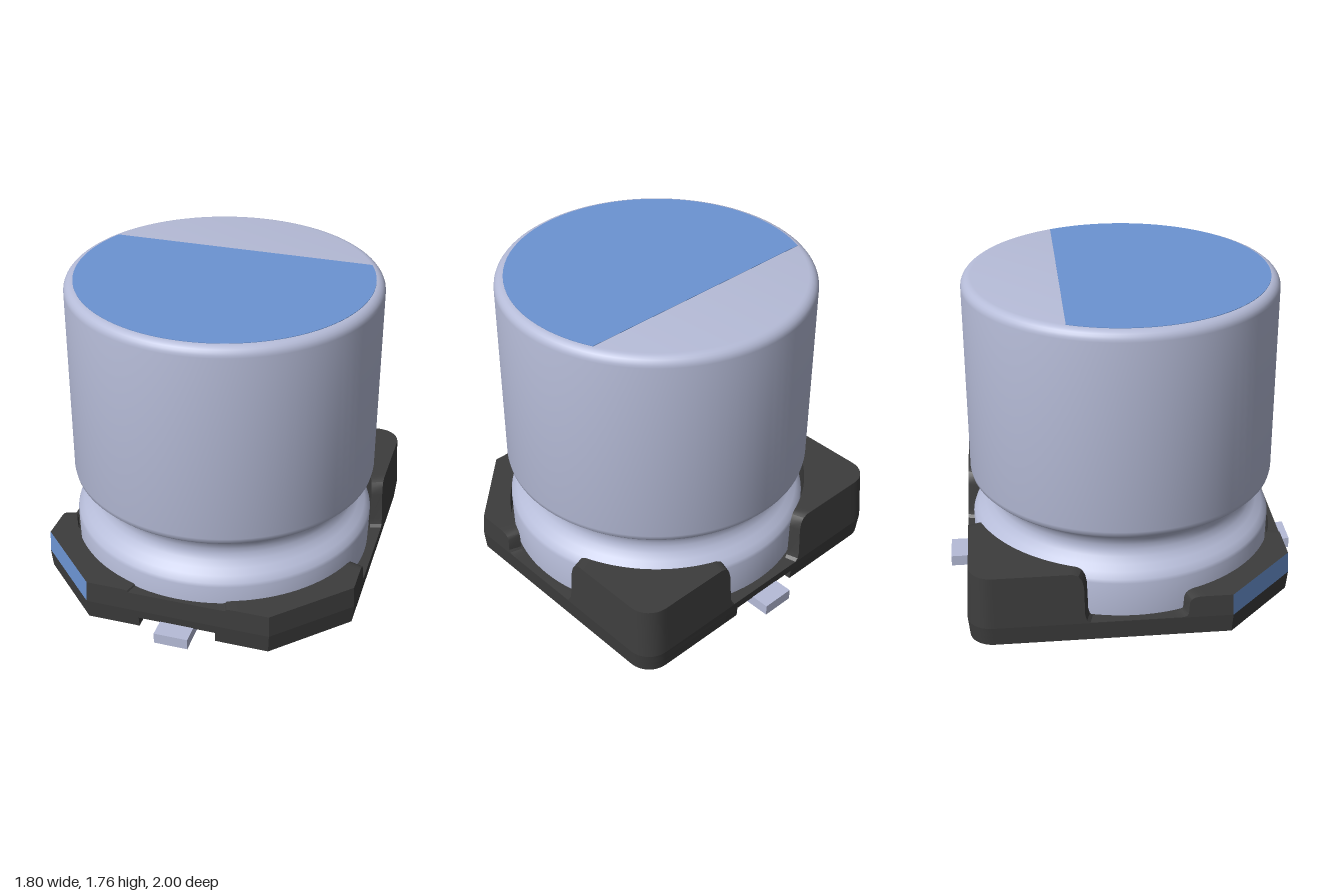
import * as THREE from 'three';
import { toCreasedNormals } from 'three/addons/utils/BufferGeometryUtils.js';

const material = (name, color, side = THREE.FrontSide) => {
  const m = new THREE.MeshStandardMaterial({ color, side });
  m.name = name;
  return m;
};

export function createModel() {
  const silver = material('silver', 0xb6bcd8, THREE.DoubleSide);
  const dark = material('dark plastic', 0x3d3d3d);
  const blue = material('blue marking', 0x6b93d2);

  const group = new THREE.Group();
  const add = (name, geometry, mat) => {
    const mesh = new THREE.Mesh(geometry, mat);
    mesh.name = name;
    group.add(mesh);
    return mesh;
  };

  const E = 0.9;          // half width of the base
  const SLAB = 0.11;      // slab height
  const SLOT = 0.06;      // depth of the lead slots
  const RECESS = 0.868;   // radius of the seat for the can

  // Rounded back corner and chamfered front corner, on the +x half
  const backCorner = [];
  for (let i = 0; i <= 8; i++) {
    const a = -Math.PI / 2 + (i / 8) * Math.PI / 2;
    backCorner.push([E - 0.13 + 0.13 * Math.cos(a), -E + 0.13 + 0.13 * Math.sin(a)]);
  }
  const frontCorner = [[E, 0.52], [0.52, E]];
  const mirrorHalf = (half) =>
    [...half, ...half.filter(([x]) => x > 0).reverse().map(([x, z]) => [-x, z])];

  // Slab: a lower layer with two slots and a solid layer above it
  const slot = [[0.1, 0.28], [0.13, 0.32], [0.13, 0.74], [0.16, 0.78], [0.22, 0.78], [0.22, E]];
  const plainOutline = mirrorHalf([...backCorner, ...frontCorner]);
  const slottedOutline = mirrorHalf([
    ...slot.map(([x, z]) => [x, -z]), ...backCorner, ...frontCorner, ...[...slot].reverse(),
  ]);
  const slabLayer = (outline, bottom, top) => {
    const shape = new THREE.Shape(outline.map(([x, z]) => new THREE.Vector2(x, z)));
    const geo = new THREE.ExtrudeGeometry(shape, { depth: top - bottom, bevelEnabled: false });
    geo.rotateX(Math.PI / 2).translate(0, top, 0);
    const p = geo.attributes.position;
    for (let i = 0; i < p.count; i++) {     // slight draft towards the bottom
      const k = 1 - 0.1 * (SLAB - p.getY(i));
      p.setXYZ(i, p.getX(i) * k, p.getY(i), p.getZ(i) * k);
    }
    return toCreasedNormals(geo, 0.5);
  };
  add('baseSlabSlotted', slabLayer(slottedOutline, 0, SLOT), dark);
  add('baseSlab', slabLayer(plainOutline, SLOT, SLAB), dark);

  // Corner posts: one ring around the can whose height steps up at the corners
  const step = [[0, 0], [0.25, 0], [0.268, 0.05], [0.278, 0.16], [0.284, 0.72],
    [0.295, 0.87], [0.315, 0.96], [0.345, 1]];
  const ms = step.map(([m]) => m);
  const down = [...ms].reverse();
  const coarse = mirrorHalf([
    ...ms.map((m) => [m, -E]), ...backCorner, ...down.map((m) => [E, -m]),
    ...ms.slice(1).map((m) => [E, m]), ...frontCorner, ...down.map((m) => [m, E]),
  ]);
  const ring = [];
  coarse.forEach(([x, z], i) => {
    const [x2, z2] = coarse[(i + 1) % coarse.length];
    const n = Math.ceil(Math.hypot(x2 - x, z2 - z) / 0.04);
    for (let j = 0; j < n; j++) ring.push([x + (x2 - x) * j / n, z + (z2 - z) * j / n]);
  });
  const height = (x, z) => {
    const m = Math.min(Math.abs(x), Math.abs(z));
    const low = z > 0 && Math.abs(z) > Math.abs(x) ? 0.22 : 0.113;
    const high = z > 0 ? 0.235 : 0.41;
    const k = step.findIndex(([s]) => s > m);
    if (k < 0) return high;
    const [m0, t0] = step[k - 1], [m1, t1] = step[k];
    return low + (high - low) * (t0 + (t1 - t0) * (m - m0) / (m1 - m0));
  };
  const section = ([x, z]) => {
    const h = height(x, z), k = 1 - 0.06 * (h - SLAB), r = RECESS / Math.hypot(x, z);
    return {
      o0: [x, SLAB, z], o1: [x * k, h, z * k],
      i0: [x * r, SLAB, z * r], i1: [x * r, h, z * r],
    };
  };
  const wall = [], mark = [];
  const quad = (list, a, b, c, d) => list.push(...a, ...b, ...c, ...a, ...c, ...d);
  ring.forEach((p, i) => {
    const q = ring[(i + 1) % ring.length];
    const a = section(p), b = section(q);
    const mx = (p[0] + q[0]) / 2, mz = (p[1] + q[1]) / 2;
    const marked = mx < 0 && mz > 0 && mx > -E + 0.001 && mz < E - 0.001;
    quad(marked ? mark : wall, a.o0, a.o1, b.o1, b.o0);
    quad(wall, a.o1, a.i1, b.i1, b.o1);
    quad(wall, a.i1, a.i0, b.i0, b.i1);
  });
  const surface = (list) => {
    const geo = new THREE.BufferGeometry();
    geo.setAttribute('position', new THREE.Float32BufferAttribute(list, 3));
    return toCreasedNormals(geo, 0.5);
  };
  add('cornerPosts', surface(wall), dark);
  add('polarityCorner', surface(mark), blue);

  // Can: rolled lower bead, pinched neck, straight body and rounded top rim
  const profile = [[0, 0.1], [0.85, 0.1], [0.855, 0.315], [0.848, 0.335], [0.82, 0.365],
    [0.785, 0.39], [0.755, 0.42], [0.74, 0.455], [0.738, 0.485], [0.748, 0.52],
    [0.77, 0.55], [0.8, 0.572], [0.838, 0.592], [0.855, 0.61], [0.86, 0.635], [0.86, 1.7]];
  for (let i = 1; i <= 6; i++) {
    const a = (i / 6) * Math.PI / 2;
    profile.push([0.805 + 0.055 * Math.cos(a), 1.7 + 0.055 * Math.sin(a)]);
  }
  profile.push([0, 1.755]);
  const can = new THREE.LatheGeometry(profile.map(([x, y]) => new THREE.Vector2(x, y)), 96);
  add('can', toCreasedNormals(can, 0.6), silver);

  // Blue segment printed on the top
  const cut = Math.asin(0.34 / 0.808);
  const segment = new THREE.Shape();
  segment.absarc(0, 0, 0.808, -cut, Math.PI + cut, false);
  const plate = new THREE.ExtrudeGeometry(segment, { depth: 0.003, bevelEnabled: false, curveSegments: 72 });
  plate.rotateX(Math.PI / 2).translate(0, 1.757, 0);
  add('topMarking', plate, blue);

  // Leads: a solid strip in front, a strip open underneath at the back
  const lead = () => new THREE.BoxGeometry(0.19, 0.063, 0.7).translate(0, 0.0315, 0);
  add('frontLead', lead(), silver).position.z = 0.65;
  const open = lead();
  const index = Array.from(open.index.array);
  index.splice(18, 6);
  open.setIndex(index);
  open.clearGroups();
  add('backLead', open, silver).position.z = -0.65;

  return group;
}
